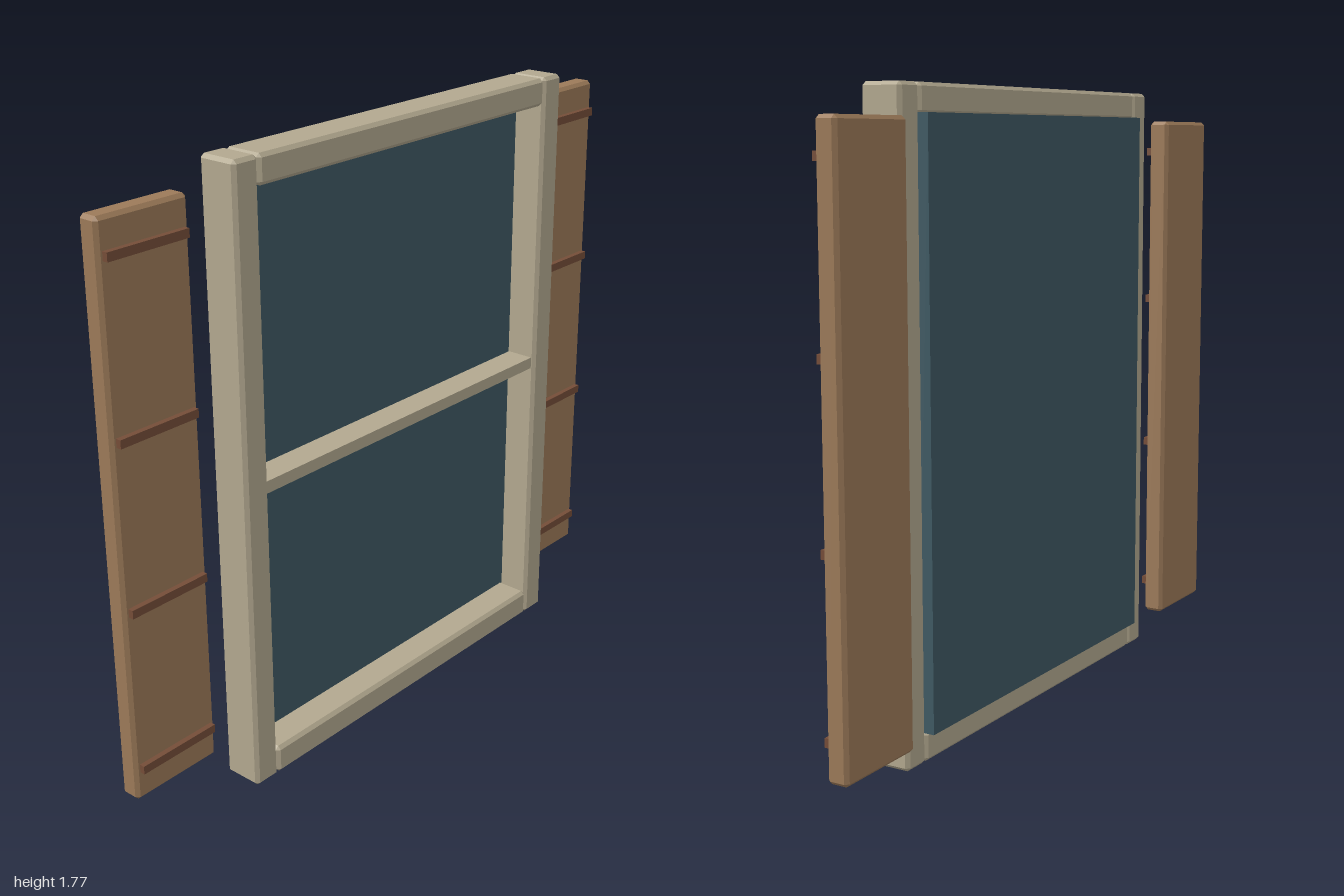
import * as THREE from 'three';
import { ConvexGeometry } from 'three/addons/geometries/ConvexGeometry.js';

const material = (name, color) => {
  const m = new THREE.MeshStandardMaterial({ color });
  m.name = name;
  return m;
};

// Box with every edge cut by a flat chamfer; bounds are [min, max] per axis
function chamferedBox(w, h, d, c) {
  const points = [];
  for (const sx of [-1, 1]) for (const sy of [-1, 1]) for (const sz of [-1, 1]) {
    const x = w / 2, y = h / 2, z = d / 2;
    points.push(
      new THREE.Vector3(sx * x, sy * (y - c), sz * (z - c)),
      new THREE.Vector3(sx * (x - c), sy * y, sz * (z - c)),
      new THREE.Vector3(sx * (x - c), sy * (y - c), sz * z));
  }
  return new ConvexGeometry(points);
}

function addBlock(parent, name, mat, [x0, x1], [y0, y1], [z0, z1], chamfer = 0) {
  const w = x1 - x0, h = y1 - y0, d = z1 - z0;
  const geometry = chamfer ? chamferedBox(w, h, d, chamfer) : new THREE.BoxGeometry(w, h, d);
  const mesh = new THREE.Mesh(geometry, mat);
  mesh.name = name;
  mesh.position.set((x0 + x1) / 2, (y0 + y1) / 2, (z0 + z1) / 2);
  parent.add(mesh);
}

export function createModel() {
  const model = new THREE.Group();
  model.name = 'shutteredWindow';
  const frameMat = material('pale frame wood', 0xb2a88f);
  const shutterMat = material('brown shutter wood', 0x9c7a59);
  const battenMat = material('dark batten wood', 0x754d38);
  const glassMat = material('dark teal glass', 0x3f5963);

  // Frame: two rails between two stiles, with a plain bar across the middle
  const frame = new THREE.Group();
  frame.name = 'frame';
  model.add(frame);
  const depth = [-0.033, 0.087];
  addBlock(frame, 'leftStile', frameMat, [0.584, 0.668], [0, 1.77], depth, 0.01);
  addBlock(frame, 'rightStile', frameMat, [-0.668, -0.584], [0, 1.77], depth, 0.01);
  addBlock(frame, 'bottomRail', frameMat, [-0.584, 0.584], [0, 0.083], depth, 0.01);
  addBlock(frame, 'topRail', frameMat, [-0.584, 0.584], [1.69, 1.77], depth, 0.01);
  addBlock(frame, 'middleBar', frameMat, [-0.584, 0.584], [0.869, 0.904], [-0.02, 0.075]);

  // Glass pane, standing slightly proud of the frame at the back
  addBlock(model, 'glass', glassMat, [-0.582, 0.582], [0.08, 1.695], [-0.056, -0.01]);

  // Shutters with four battens each
  for (const side of [1, -1]) {
    const shutter = new THREE.Group();
    shutter.name = side > 0 ? 'leftShutter' : 'rightShutter';
    shutter.position.x = side * 0.857;
    model.add(shutter);
    addBlock(shutter, 'shutterPanel', shutterMat, [-0.143, 0.143], [0.086, 1.685], [-0.087, -0.025], 0.01);
    for (let i = 0; i < 4; i++) {
      const y = 0.184 + i * 0.469;
      addBlock(shutter, 'batten', battenMat, [-0.128, 0.128], [y - 0.012, y + 0.012], [-0.035, -0.009]);
    }
  }
  return model;
}
